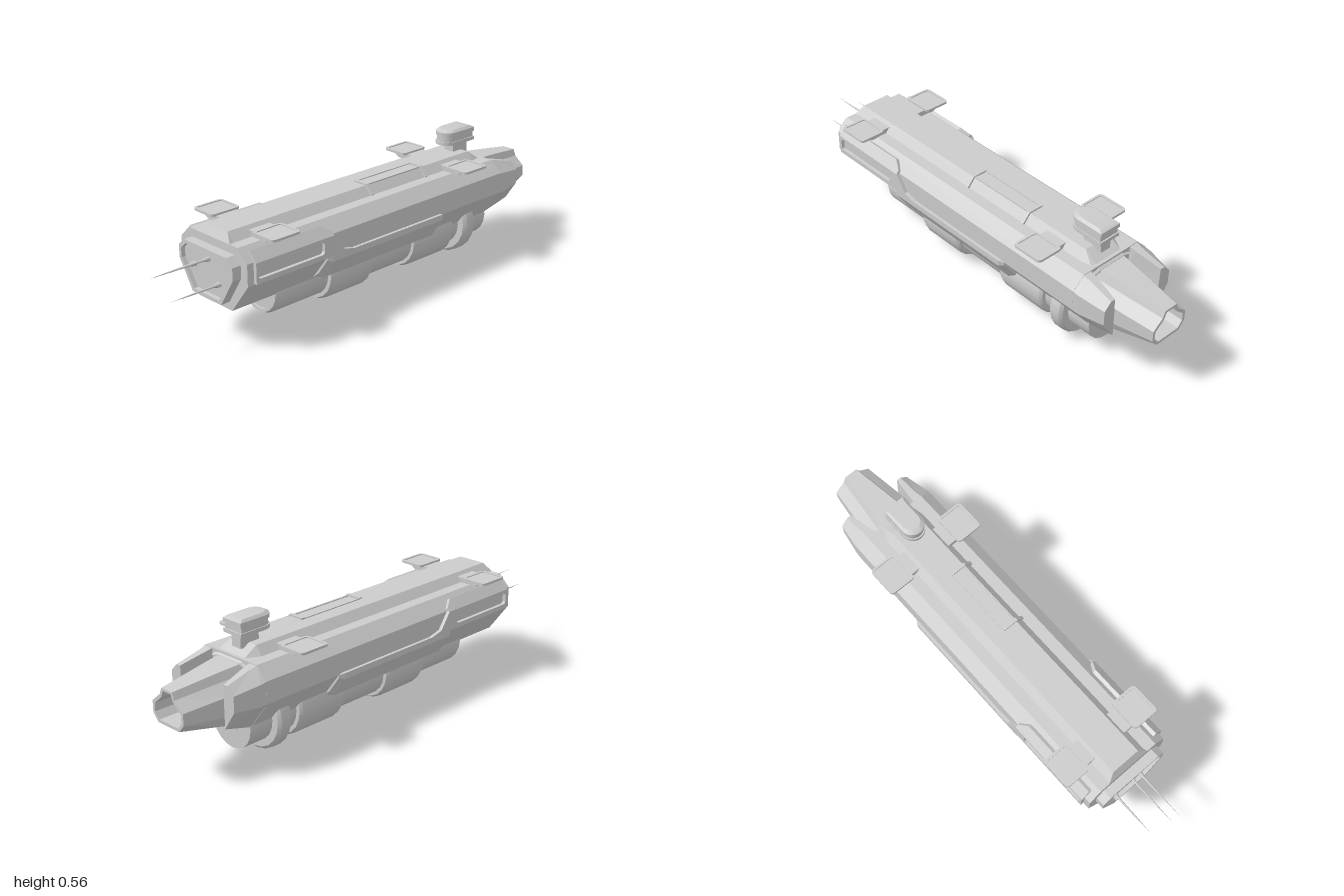
import * as THREE from 'three';
import { toCreasedNormals } from 'three/addons/utils/BufferGeometryUtils.js';

const flat = new THREE.MeshStandardMaterial({ color: 0xcccccc, flatShading: true });
const smooth = new THREE.MeshStandardMaterial({ color: 0xcccccc });

// Skins a row of cross-sections [z, [[x, y], ...]] and caps both ends.
function loft(sections) {
  const pos = [];
  const area = THREE.ShapeUtils.area(sections[0][1].map(p => new THREE.Vector2(...p)));
  const away = sections.find(s => s[0] !== sections[0][0])[0] > sections[0][0];
  const flip = (area > 0) !== away;
  const tri = (a, b, c) => pos.push(...a, ...(flip ? c : b), ...(flip ? b : c));
  const rings = sections.map(([z, pts]) => pts.map(([x, y]) => [x, y, z]));
  const n = rings[0].length;
  for (let s = 0; s < rings.length - 1; s++) {
    for (let i = 0; i < n; i++) {
      const j = (i + 1) % n, A = rings[s], B = rings[s + 1];
      tri(A[i], A[j], B[j]);
      tri(A[i], B[j], B[i]);
    }
  }
  const cap = (ring, end) => {
    const v = ring.map(p => new THREE.Vector2(p[0], p[1]));
    for (const f of THREE.ShapeUtils.triangulateShape(v, [])) {
      let [a, b, c] = f;
      const ccw = THREE.ShapeUtils.area([v[a], v[b], v[c]]) > 0;
      if (ccw !== (area > 0)) [b, c] = [c, b];
      if (end) tri(ring[a], ring[b], ring[c]); else tri(ring[a], ring[c], ring[b]);
    }
  };
  cap(rings[0], false);
  cap(rings[rings.length - 1], true);
  const g = new THREE.BufferGeometry();
  g.setAttribute('position', new THREE.Float32BufferAttribute(pos, 3));
  g.computeVertexNormals();
  return g;
}

// Completes a half outline (top to bottom, x > 0) across the centre line.
const sym = half => [...half, ...half.map(([x, y]) => [-x, y]).reverse()];
const sided = (sections, s) => sections.map(([z, pts]) => [z, pts.map(([x, y]) => [x * s, y])]);

function roundRect(path, x0, y0, x1, y1, r) {
  path.moveTo(x0 + r, y0);
  path.lineTo(x1 - r, y0); path.quadraticCurveTo(x1, y0, x1, y0 + r);
  path.lineTo(x1, y1 - r); path.quadraticCurveTo(x1, y1, x1 - r, y1);
  path.lineTo(x0 + r, y1); path.quadraticCurveTo(x0, y1, x0, y1 - r);
  path.lineTo(x0, y0 + r); path.quadraticCurveTo(x0, y0, x0 + r, y0);
  return path;
}

export function createModel() {
  const root = new THREE.Group();
  const add = (name, geo, mat = flat) => {
    const m = new THREE.Mesh(geo, mat);
    m.name = name;
    root.add(m);
    return m;
  };

  // Main hull, closing in on a sloped rear wall
  const hullHalf = [[0.145, 0.425], [0.197, 0.375], [0.197, 0.285], [0.1, 0.157]];
  add('hull', loft([[0.73, sym(hullHalf)], [-0.7, sym(hullHalf)]]));
  add('topRidge', loft([
    [0.73, sym([[0.1, 0.425], [0.1, 0.42]])],
    [0.71, sym([[0.065, 0.461], [0.1, 0.42]])],
    [-0.63, sym([[0.065, 0.461], [0.1, 0.42]])],
    [-0.71, sym([[0.065, 0.41], [0.1, 0.4]])],
  ]));

  // Nose plate with a shallow recess
  const plate = sym([[0.126, 0.392], [0.16, 0.361], [0.16, 0.309], [0.086, 0.19]]);
  const recess = sym([[0.117, 0.378], [0.147, 0.351], [0.147, 0.311], [0.076, 0.205]]);
  add('nosePlate', loft([[0.72, plate], [0.77, plate], [0.77, recess], [0.752, recess]]));

  // Nose antennas
  for (const [x, y, tip] of [[0, 0.345, 1], [-0.083, 0.302, 0.965], [0.06, 0.26, 0.985]]) {
    const profile = [[0.01, 0.745], [0.01, 0.765], [0.005, 0.78], [0.0035, 0.87], [0, tip]];
    const g = new THREE.LatheGeometry(profile.map(p => new THREE.Vector2(...p)), 8);
    add('antenna', g.rotateX(Math.PI / 2).translate(x, y, 0), smooth);
  }

  // Tail spine, hollow at its open end
  const tailEnd = [[0.03, 0.378], [0.042, 0.35], [0.088, 0.312], [0.088, 0.265], [0.06, 0.232]];
  const bore = [[0.022, 0.368], [0.034, 0.34], [0.076, 0.304], [0.076, 0.27], [0.054, 0.244]];
  add('tailSpine', loft([
    [-0.69, sym([[0.065, 0.41], [0.08, 0.375], [0.125, 0.33], [0.125, 0.24], [0.1, 0.157]])],
    [-0.8, sym([[0.052, 0.4], [0.066, 0.366], [0.112, 0.325], [0.112, 0.245], [0.09, 0.198]])],
    [-1, sym(tailEnd)], [-1, sym(bore)], [-0.88, sym(bore)],
  ]));

  for (const s of [1, -1]) {
    // Rear prongs beside the tail
    add('rearProng', loft(sided([
      [-0.69, [[0.105, 0.424], [0.145, 0.425], [0.197, 0.375], [0.197, 0.285], [0.1, 0.157], [0.1, 0.3]]],
      [-0.73, [[0.108, 0.415], [0.142, 0.415], [0.195, 0.37], [0.195, 0.283], [0.104, 0.17], [0.108, 0.3]]],
      [-0.84, [[0.125, 0.387], [0.145, 0.387], [0.177, 0.355], [0.177, 0.29], [0.122, 0.208], [0.122, 0.3]]],
    ], s)));

    // Forward side armour with a long slot
    const side = new THREE.Shape([
      [-0.7, 0.29], [-0.2, 0.29], [-0.26, 0.305], [-0.31, 0.375], [-0.7, 0.375],
    ].map(p => new THREE.Vector2(...p)));
    side.holes.push(roundRect(new THREE.Path(), -0.69, 0.31, -0.36, 0.362, 0.014));
    const sideGeo = new THREE.ExtrudeGeometry(side, { depth: 0.022, bevelEnabled: false, curveSegments: 4 });
    add('sideArmour', sideGeo.rotateY(Math.PI / 2).translate(s > 0 ? 0.19 : -0.212, 0, 0));
    const bevel = [[0.19, 0.372], [0.212, 0.375], [0.178, 0.415], [0.16, 0.405]];
    add('shoulderArmour', loft(sided([
      [0.7, bevel], [0.35, bevel],
      [0.31, [[0.19, 0.372], [0.212, 0.375], [0.2, 0.388], [0.185, 0.38]]],
    ], s)));

    // Lower side armour
    const lower = [[0.18, 0.29], [0.21, 0.29], [0.21, 0.265], [0.154, 0.181], [0.115, 0.176]];
    const lowerEnd = [[0.18, 0.28], [0.198, 0.285], [0.198, 0.272], [0.145, 0.2], [0.115, 0.176]];
    add('lowerArmour', loft(sided([[0.335, lowerEnd], [0.315, lower], [-0.31, lower], [-0.33, lowerEnd]], s)));

    // Deck pads: thin plate, raised rim and tapered foot
    for (const z of [0.57, -0.49]) {
      const pad = new THREE.Group();
      pad.name = 'deckPad';
      const outline = () => roundRect(new THREE.Shape(), -0.06, -0.07, 0.06, 0.07, 0.018);
      const rim = outline();
      rim.holes.push(roundRect(new THREE.Path(), -0.05, -0.06, 0.05, 0.06, 0.012));
      for (const [shape, y, depth, name] of [[outline(), 0.445, 0.006, 'padPlate'], [rim, 0.45, 0.005, 'padRim']]) {
        const g = new THREE.ExtrudeGeometry(shape, { depth, bevelEnabled: false, curveSegments: 4 });
        const m = new THREE.Mesh(g.rotateX(-Math.PI / 2).translate(s * 0.178, y, z), flat);
        m.name = name;
        pad.add(m);
      }
      const foot = [[0.075, 0.447], [0.207, 0.447], [0.17, 0.422], [0.075, 0.422]];
      const f = new THREE.Mesh(loft(sided([[z + 0.05, foot], [z - 0.05, foot]], s)), flat);
      f.name = 'padFoot';
      pad.add(f);
      root.add(pad);
    }
  }

  // Raised frame on one half of the ridge
  const bar = [[0, 0.455], [0, 0.468], [0.07, 0.468], [0.104, 0.43], [0.095, 0.42]];
  for (const z of [0, -0.32]) add('frameBar', loft([[z, bar], [z - 0.015, bar]]));
  for (const x of [0.003, 0.063]) {
    add('frameRail', new THREE.BoxGeometry(0.006, 0.008, 0.32).translate(x, 0.461, -0.167));
  }

  // Under-slung drum with collars
  const drum = [
    [0, -0.71], [0.11, -0.71], [0.11, -0.6], [0.14, -0.6], [0.152, -0.588], [0.152, -0.545], [0.14, -0.53],
    [0.11, -0.53], [0.11, -0.475], [0.127, -0.475], [0.136, -0.462], [0.136, -0.25], [0.127, -0.23],
    [0.113, -0.23], [0.113, 0.015], [0.127, 0.015], [0.136, 0.03], [0.136, 0.23], [0.127, 0.25],
    [0.11, 0.25], [0.11, 0.505], [0.102, 0.52], [0.09, 0.52], [0.09, 0.51], [0, 0.51],
  ].map(p => new THREE.Vector2(...p));
  const drumGeo = new THREE.LatheGeometry(drum, 20).rotateX(Math.PI / 2).translate(0, 0.155, 0);
  add('underDrum', toCreasedNormals(drumGeo, 0.5), smooth);

  // Turret: pedestal and a stacked head, round in front and square behind
  add('turretPedestal', new THREE.BoxGeometry(0.05, 0.06, 0.09).translate(0, 0.475, -0.625));
  const head = k => {
    const pts = [[-0.05 * k, 0.085 * k], [-0.05 * k, -0.035 * k]];
    for (let i = 1; i < 12; i++) {
      const a = Math.PI * (1 + i / 12);
      pts.push([0.05 * k * Math.cos(a), -0.035 * k + 0.05 * k * Math.sin(a)]);
    }
    return [...pts, [0.05 * k, -0.035 * k], [0.05 * k, 0.085 * k]];
  };
  const layers = [[0.5, 1], [0.515, 1], [0.515, 0.93], [0.54, 0.93], [0.54, 1], [0.557, 1], [0.567, 0.78]];
  const headGeo = loft(layers.map(([h, k]) => [h, head(k)]));
  add('turretHead', toCreasedNormals(headGeo.rotateX(-Math.PI / 2).translate(0, 0, -0.603), 0.5), smooth);

  return root;
}
